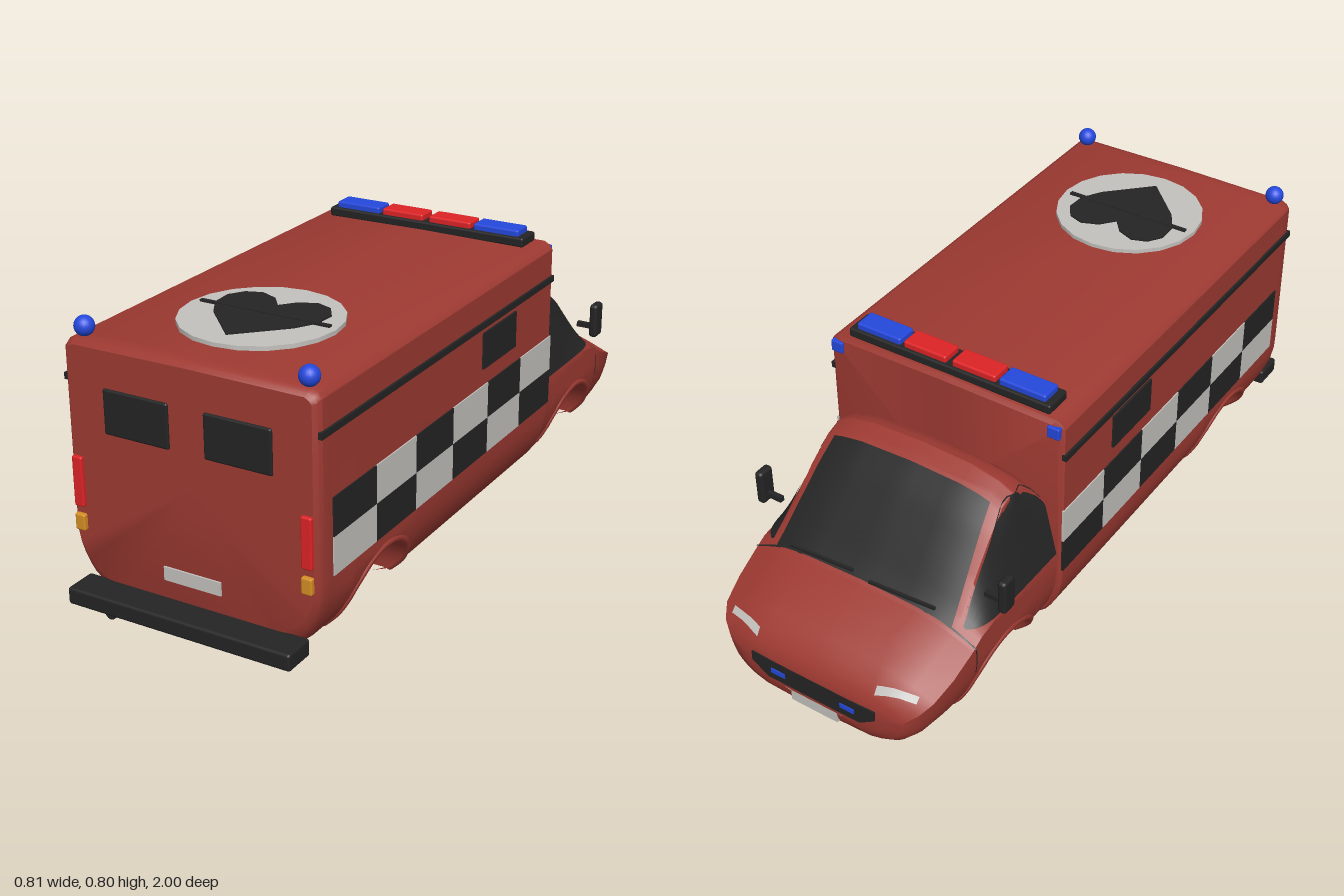
import * as THREE from 'three';
import { toCreasedNormals } from 'three/addons/utils/BufferGeometryUtils.js';
import { RoundedBoxGeometry } from 'three/addons/geometries/RoundedBoxGeometry.js';

const mat = (name, color) => Object.assign(new THREE.MeshStandardMaterial({ color }), { name });
const lerp = THREE.MathUtils.lerp;

// Piecewise-linear lookup in rows sorted by their first column
function lookup(rows, k) {
  let i = 0;
  while (i < rows.length - 2 && k > rows[i + 1][0]) i++;
  const a = rows[i], b = rows[i + 1];
  const t = THREE.MathUtils.clamp((k - a[0]) / (b[0] - a[0]), 0, 1);
  return a.map((v, n) => lerp(v, b[n], t));
}

// Stations: z, roof y, roof half width, belt half width, belt y, bottom y, shoulder width, shoulder drop
const CAB = [
  [-1.0, 0.16, 0.13, 0.17, 0.14, 0.09, 0.03, 0.01],
  [-0.995, 0.187, 0.2, 0.24, 0.155, 0.07, 0.05, 0.015],
  [-0.985, 0.207, 0.235, 0.285, 0.165, 0.05, 0.06, 0.02],
  [-0.965, 0.235, 0.26, 0.315, 0.19, 0.035, 0.08, 0.022],
  [-0.93, 0.265, 0.275, 0.337, 0.215, 0.027, 0.1, 0.025],
  [-0.86, 0.303, 0.285, 0.35, 0.245, 0.026, 0.12, 0.03],
  [-0.78, 0.335, 0.295, 0.355, 0.28, 0.026, 0.12, 0.03],
  [-0.74, 0.372, 0.295, 0.355, 0.3, 0.026, 0.12, 0.03],
  [-0.68, 0.437, 0.29, 0.355, 0.31, 0.026, 0.12, 0.032],
  [-0.6, 0.522, 0.285, 0.355, 0.31, 0.026, 0.12, 0.035],
  [-0.53, 0.585, 0.28, 0.355, 0.31, 0.026, 0.12, 0.04],
  [-0.48, 0.605, 0.28, 0.355, 0.31, 0.026, 0.12, 0.045],
  [-0.44, 0.595, 0.285, 0.355, 0.31, 0.026, 0.12, 0.045],
  [-0.41, 0.565, 0.3, 0.355, 0.31, 0.026, 0.12, 0.045],
  [-0.38, 0.51, 0.32, 0.355, 0.31, 0.026, 0.12, 0.04],
];
const BOX = [
  [-0.385, 0.745, 0.355, 0.36, 0.25, 0.026, 0.02, 0.02],
  [-0.375, 0.757, 0.37, 0.37, 0.25, 0.026, 0.025, 0.025],
  [0.86, 0.757, 0.37, 0.37, 0.25, 0.026, 0.025, 0.025],
  [0.89, 0.757, 0.37, 0.37, 0.25, 0.038, 0.025, 0.025],
  [0.905, 0.752, 0.366, 0.366, 0.25, 0.06, 0.025, 0.025],
  [0.915, 0.742, 0.356, 0.356, 0.25, 0.09, 0.02, 0.02],
];
const TUCK = [[0, 0.6], [0.12, 0.76], [0.3, 0.865], [0.5, 0.93], [0.75, 0.975], [1, 1]];
const ARCH_R = 0.16, ARCH_Y = 0.05;

// Right half of a cross-section, from the roof centre down to the sill or the arch rim
function section(rows, z, archZ) {
  const [, Y, T, W, B, b, r, d] = lookup(rows, z);
  const pts = [[0, Y], [T - r, Y - 0.15 * d], [T - 0.35 * r, Y - 0.5 * d], [T, Y - d], [W, B]];
  const dz = Math.abs(z - archZ);
  const end = dz <= ARCH_R + 1e-6 ? ARCH_Y + Math.sqrt(Math.max(0, ARCH_R ** 2 - dz * dz)) : b;
  for (let i = 1; i <= 10; i++) {
    const y = lerp(B, end, 1 - (1 - i / 10) ** 2);
    pts.push([W * lookup(TUCK, (y - b) / (Math.min(0.22, B) - b))[1], y]);
  }
  return pts;
}
// Surface lookups used to lay panels on the cab
const cabTopY = (z, x) => lookup(section(CAB, z, 9), Math.abs(x))[1];
const cabSideX = (z, y) => lookup(section(CAB, z, 9).map(([x, h]) => [-h, x]), -y)[1];

// Surface from rows of points
function skin(rows, caps) {
  const n = rows[0].length, pos = rows.flat(2), idx = [];
  for (let i = 0; i < rows.length - 1; i++) for (let j = 0; j < n - 1; j++) {
    const a = i * n + j, b = a + n;
    idx.push(a, b, a + 1, b, b + 1, a + 1);
  }
  if (caps) for (const [row, front] of [[0, true], [rows.length - 1, false]]) {
    const c = pos.length / 3, ys = rows[row].map(p => p[1]);
    pos.push(0, (Math.max(...ys) + Math.min(...ys)) / 2, rows[row][0][2]);
    for (let j = 0; j < n; j++) {
      const p = row * n + j, q = row * n + (j + 1) % n;
      idx.push(c, front ? p : q, front ? q : p);
    }
  }
  const g = new THREE.BufferGeometry();
  g.setAttribute('position', new THREE.Float32BufferAttribute(pos, 3));
  g.setIndex(idx);
  return toCreasedNormals(g, 0.6);
}

export function createModel() {
  const root = new THREE.Group();
  root.name = 'ambulance';
  const red = mat('bodyRed', 0x9e3a32), black = mat('trimBlack', 0x242424), white = mat('markingWhite', 0xc4c2be);
  const blue = mat('beaconBlue', 0x2448dc), lamp = mat('lampRed', 0xde2326), amber = mat('indicatorAmber', 0xd68f24);

  const add = (name, geo, m, x = 0, y = 0, z = 0) => {
    const mesh = new THREE.Mesh(geo, m);
    mesh.name = name;
    mesh.position.set(x, y, z);
    root.add(mesh);
    return mesh;
  };
  // Block given by its extents
  const block = (name, m, x0, x1, y0, y1, z0, z1, r = 0) => {
    const s = [x1 - x0, y1 - y0, z1 - z0];
    const g = r ? new RoundedBoxGeometry(...s, 2, r) : new THREE.BoxGeometry(...s);
    return add(name, g, m, (x0 + x1) / 2, (y0 + y1) / 2, (z0 + z1) / 2);
  };
  const pair = (name, m, x0, x1, ...rest) => {
    block(name + 'Left', m, x0, x1, ...rest);
    block(name + 'Right', m, -x1, -x0, ...rest);
  };

  // Hull halves: shell, belly, wheel tunnel and arch lips
  function hull(name, rows, archZ) {
    const arch = [];
    for (let i = 0; i <= 24; i++) arch.push(archZ - ARCH_R * Math.cos(Math.PI * i / 24));
    const inside = z => Math.abs(z - archZ) < ARCH_R + 0.001;
    const zs = [...rows.map(r => r[0]).filter(z => !inside(z)),
      ...rows.map(r => r[0]).filter(inside), ...arch, archZ - ARCH_R - 0.001, archZ + ARCH_R + 0.001];
    zs.sort((a, b) => a - b);
    const ring = z => {
      const h = section(rows, z, archZ);
      return [...h.slice(1).reverse().map(([x, y]) => [-x, y, z]), ...h.map(([x, y]) => [x, y, z])];
    };
    add(name, skin(zs.map(ring), true), red);
    add(name + 'Belly', skin(rows.map(([z, , , W, , b]) =>
      [[0.6 * W, b, z], [0, b - 0.007, z], [-0.6 * W, b, z]])), red);
    const rim = arch.map(z => [...section(rows, z, archZ).at(-1), z]);
    add(name + 'WheelTunnel', skin(rim.map(([x, y, z]) => [[x, y, z], [-x, y, z]])), red);
    for (const s of [1, -1]) {
      const path = new THREE.CatmullRomCurve3(rim.map(([x, y, z]) =>
        new THREE.Vector3(s * (x - 0.004), ARCH_Y + (y - ARCH_Y) * 1.06, archZ + (z - archZ) * 1.06)));
      add(name + 'ArchLip', new THREE.TubeGeometry(path, 32, 0.011, 8), red);
    }
  }
  hull('boxBody', BOX, 0.583);
  hull('cab', CAB, -0.622);

  // Windscreen
  const screen = [];
  for (let i = 0; i <= 14; i++) {
    const z = lerp(-0.775, -0.54, i / 14), w = lerp(0.285, 0.25, i / 14), row = [];
    for (let j = -8; j <= 8; j++) row.push([w * j / 8, cabTopY(z, w * j / 8) + 0.007, z]);
    screen.push(row);
  }
  add('windscreen', skin(screen), black);

  // Panels laid on the cab sides, bounded by lower and upper edges
  function sidePanel(name, z0, z1, low, high) {
    for (const s of [1, -1]) {
      const rows = [];
      for (let i = 0; i <= 8; i++) {
        const row = [];
        for (let j = 0; j <= 20; j++) {
          const z = lerp(z0, z1, s > 0 ? j / 20 : 1 - j / 20), y = lerp(low(z), high(z), i / 8);
          row.push([s * (cabSideX(z, y) + 0.005), y, z]);
        }
        rows.push(row);
      }
      add(name, skin(rows), black);
    }
  }
  sidePanel('cabSideWindow', -0.755, -0.39, () => 0.318,
    z => Math.max(0.32, Math.min(0.56, lookup(CAB, z)[1] - 0.035)));
  sidePanel('doorSeam', -0.773, -0.769, () => 0.2, () => 0.335);

  // Wipers
  for (const x of [-0.13, 0.13]) {
    const w = block('wiper', black, x - 0.1, x + 0.1, 0.352, 0.36, -0.776, -0.768);
    w.rotation.y = 0.06;
  }

  // Nose: grille, grille lights, plate, headlights
  const g = new THREE.Shape([[-0.15, 0.1], [0.15, 0.1], [0.2, 0.135], [0.2, 0.165], [-0.2, 0.165], [-0.2, 0.135]]
    .map(p => new THREE.Vector2(...p)));
  add('grille', new THREE.ExtrudeGeometry(g, { depth: 0.012, bevelEnabled: false }), black, 0, 0, -1.001);
  pair('grilleLight', blue, 0.09, 0.135, 0.125, 0.14, -1.004, -0.998);
  block('frontPlate', white, -0.075, 0.075, 0.055, 0.09, -1.0, -0.985);
  for (const s of [1, -1]) {
    const rows = [[], []];
    for (let j = 0; j <= 10; j++) {
      const t = s > 0 ? j / 10 : 1 - j / 10, x = lerp(0.19, 0.3, t);
      [-0.983, -0.968].forEach((z, i) => {
        const zz = z + 0.03 * t;
        rows[i].push([s * x, cabTopY(zz, x) + 0.005, zz]);
      });
    }
    add('headlight', skin(rows), white);
  }

  // Door mirrors
  pair('mirror', black, 0.377, 0.403, 0.37, 0.475, -0.705, -0.655, 0.01);
  pair('mirrorArm', black, 0.33, 0.385, 0.39, 0.405, -0.69, -0.675);

  // Box sides: chequers, rub rail, windows
  for (let c = 0; c < 6; c++) for (let r = 0; r < 2; r++) {
    const z = 0.85 - c * 0.205, y = 0.255 + r * 0.105;
    pair('chequer', (c + r) % 2 ? black : white, 0.367, 0.3735, y, y + 0.105, z - 0.205, z);
  }
  root.children.filter(m => m.name.startsWith('chequer')).forEach(m => {
    m.material = m.material === black ? black : white;
  });
  pair('rubRail', black, 0.364, 0.377, 0.635, 0.653, -0.38, 0.905);
  pair('sideWindow', black, 0.366, 0.376, 0.515, 0.62, -0.135, 0.065);

  // Rear end
  pair('rearWindow', black, 0.052, 0.247, 0.518, 0.641, 0.905, 0.922, 0.006);
  pair('tailLamp', lamp, 0.325, 0.356, 0.297, 0.437, 0.9, 0.926, 0.005);
  pair('rearIndicator', amber, 0.325, 0.356, 0.23, 0.276, 0.895, 0.928, 0.005);
  block('rearPlate', white, -0.086, 0.086, 0.152, 0.19, 0.91, 0.92);
  block('rearBumper', black, -0.336, 0.336, 0.052, 0.1, 0.905, 1, 0.008);
  const pipe = add('exhaust', new THREE.CylinderGeometry(0.018, 0.018, 0.12, 14), black, -0.25, 0.018, 0.88);
  pipe.rotation.x = Math.PI / 2;

  // Beacons and light bar
  for (const s of [1, -1]) add('rearBeacon', new THREE.SphereGeometry(0.027, 20, 14), blue, s * 0.327, 0.777, 0.875);
  block('lightBar', black, -0.318, 0.318, 0.752, 0.78, -0.367, -0.283, 0.006);
  pair('barLampRed', lamp, 0.01, 0.145, 0.77, 0.798, -0.357, -0.293, 0.006);
  pair('barLampBlue', blue, 0.156, 0.298, 0.77, 0.798, -0.357, -0.293, 0.006);
  pair('cornerLamp', blue, 0.325, 0.362, 0.705, 0.74, -0.394, -0.375, 0.004);

  // Roof emblem: disc, heart and pulse line
  add('roofDisc', new THREE.CylinderGeometry(0.217, 0.217, 0.012, 20), white, 0, 0.762, 0.577);
  const half = [[0, 0.075], [0.035, 0.118], [0.085, 0.138], [0.13, 0.122], [0.158, 0.08], [0.155, 0.02], [0.12, -0.04]];
  const outline = [...half, [0, -0.16], ...half.slice(1).reverse().map(([x, y]) => [-x, y])];
  const heart = new THREE.ExtrudeGeometry(new THREE.Shape(outline.map(p => new THREE.Vector2(...p))),
    { depth: 0.005, bevelEnabled: false });
  heart.rotateX(-Math.PI / 2);
  add('roofHeart', heart, black, 0, 0.767, 0.577);
  block('pulseLine', black, -0.195, 0.195, 0.767, 0.774, 0.558, 0.57);
  return root;
}
